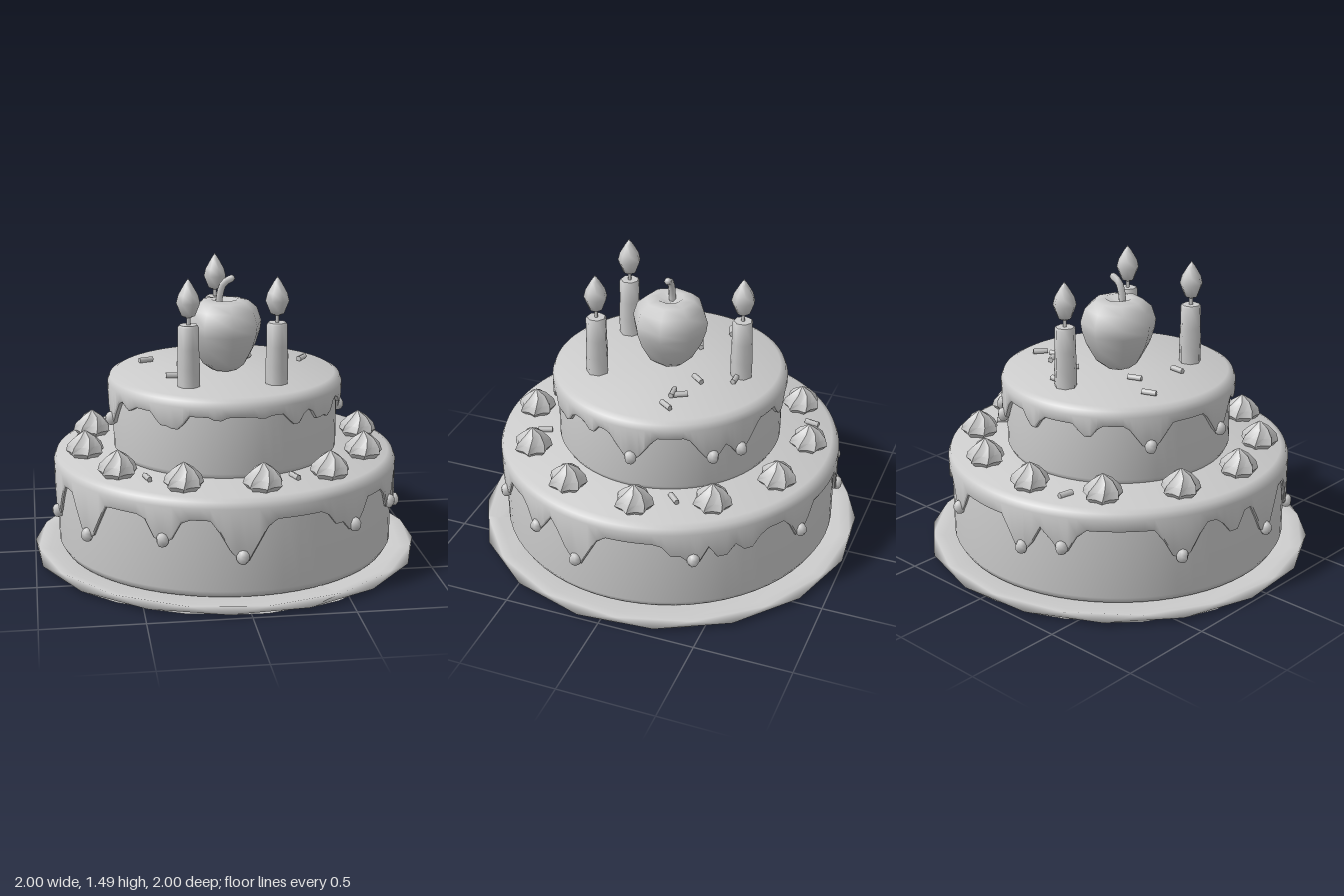
import * as THREE from 'three';
import { toCreasedNormals } from 'three/addons/utils/BufferGeometryUtils.js';

const rad = THREE.MathUtils.degToRad;
const material = new THREE.MeshStandardMaterial({ color: 0xcccccc, side: THREE.DoubleSide });

function mesh(name, geometry, parent, x = 0, y = 0, z = 0) {
  const m = new THREE.Mesh(geometry, material);
  m.name = name;
  m.position.set(x, y, z);
  parent.add(m);
  return m;
}

// Smooth lathe from [radius, height] pairs
function lathe(points, sides, start = 0) {
  return new THREE.LatheGeometry(points.map(p => new THREE.Vector2(...p)), sides, start);
}

// Ring-shaped plate: the rim corners sit half a step away from the inner ones
function plateGeometry() {
  const geo = lathe([
    [0.81, 0.02], [0.9, 0.01], [0.965, 0.01], [1.005, 0.03], [0.985, 0.058],
    [0.93, 0.045], [0.81, 0.045], [0.81, 0.02],
  ], 16, rad(16));
  const pos = geo.attributes.position;
  for (let i = 0; i < pos.count; i++) {
    const r = Math.hypot(pos.getX(i), pos.getZ(i));
    if (r > 0.99) continue;
    const a = Math.atan2(pos.getX(i), pos.getZ(i)) + Math.PI / 16;
    pos.setX(i, Math.sin(a) * r);
    pos.setZ(i, Math.cos(a) * r);
  }
  geo.computeVertexNormals();
  return geo;
}

// Lower edge of the icing at an angle in degrees: the lowest of all drips there
function dripEdge(angle, base, drips, slope) {
  let y = base;
  for (const [a, tip] of drips) {
    const d = Math.abs(((angle - a + 540) % 360) - 180);
    y = Math.min(y, tip + Math.max(0, d - 2) * slope);
  }
  return y;
}

// Icing cap whose lower rim is pulled down into drips
function icing(inner, radius, top, base, drips, slope) {
  const profile = [
    [inner, base], [radius - 0.006, base], [radius, base + 0.012],
    [radius, top - 0.045], [radius - 0.012, top - 0.015], [radius - 0.04, top], [0, top],
  ];
  const geo = lathe(profile, 120);
  const pos = geo.attributes.position;
  for (let i = 0; i < pos.count; i++) {
    const ring = i % profile.length;
    if (ring > 2) continue;
    const angle = Math.floor(i / profile.length) * 3;
    pos.setY(i, dripEdge(angle, base, drips, slope) + (ring === 2 ? 0.012 : 0));
  }
  return toCreasedNormals(geo, 0.7);
}

// Piped cream star: ridged rings that twist and narrow to a point
function dollopGeometry() {
  const rings = [[0.07, 0, 0], [0.1, 0.03, 0.05], [0.09, 0.065, 0.15], [0.052, 0.105, 0.35], [0, 0.138, 0.5]];
  const sides = 14, positions = [], index = [];
  rings.forEach(([r, y, twist]) => {
    for (let i = 0; i < sides; i++) {
      const a = i / sides * Math.PI * 2 + twist;
      const k = i % 2 ? 0.8 : 1;
      positions.push(Math.sin(a) * r * k, y, Math.cos(a) * r * k);
    }
  });
  for (let j = 0; j < rings.length - 1; j++) {
    for (let i = 0; i < sides; i++) {
      const a = j * sides + i, b = j * sides + (i + 1) % sides;
      index.push(a, b, b + sides, a, b + sides, a + sides);
    }
  }
  const geo = new THREE.BufferGeometry();
  geo.setAttribute('position', new THREE.Float32BufferAttribute(positions, 3));
  geo.setIndex(index);
  return toCreasedNormals(geo, 0.75);
}

function addTier(root, name, sponge, iced, drips, slope) {
  const tier = new THREE.Group();
  tier.name = name;
  root.add(tier);
  const { r, bottom, top, hole } = sponge;
  // Hollow sponge with a shelf reaching in under the icing
  mesh('sponge', lathe([
    [r - 0.07, bottom], [r - 0.02, bottom], [r, bottom + 0.035], [r, top - 0.06], [r - 0.03, top - 0.025], [hole, top - 0.02],
  ], 64), tier);
  mesh('icing', icing(r + 0.002, iced.r, top, iced.base, drips, slope), tier);

  // Beads hanging from the drip tips
  const bead = new THREE.SphereGeometry(0.032, 6, 5);
  for (const [a, tip, hasBead] of drips) {
    if (!hasBead) continue;
    const b = mesh('dripBead', bead, tier, Math.sin(rad(a)) * iced.r, tip + 0.02, Math.cos(rad(a)) * iced.r);
    b.scale.y = 1.15;
    b.rotation.y = rad(a);
  }
}

function addCandle(root, x, z) {
  const candle = new THREE.Group();
  candle.name = 'candle';
  candle.position.set(x, 0.95, z);
  root.add(candle);
  const wax = lathe([[0.056, 0], [0.058, 0.1], [0.054, 0.2], [0.053, 0.31], [0.047, 0.32], [0, 0.32]], 7, 0.3);
  mesh('wax', toCreasedNormals(wax, 1), candle);
  mesh('wick', new THREE.CylinderGeometry(0.01, 0.01, 0.06, 5), candle, 0, 0.34, 0);
  const flame = lathe([[0, 0.35], [0.034, 0.365], [0.06, 0.43], [0.05, 0.47], [0.021, 0.52], [0, 0.55]], 7, 0.3);
  mesh('flame', toCreasedNormals(flame, 1.1), candle);
}

export function createModel() {
  const root = new THREE.Group();
  root.name = 'tieredCake';

  mesh('plate', plateGeometry(), root);

  // Drips: [angle, tip height, has a bead]
  addTier(root, 'lowerTier', { r: 0.872, bottom: 0.055, top: 0.555, hole: 0.4 }, { r: 0.889, base: 0.45 }, [
    [-2, 0.25, 1], [38, 0.32, 1], [31, 0.37, 0], [62, 0.33, 1], [79, 0.25, 1], [118, 0.34, 1], [112, 0.38, 0],
    [128, 0.36, 0], [137, 0.37, 0], [158, 0.32, 1], [191, 0.29, 1], [205, 0.33, 1], [243, 0.28, 1], [262, 0.36, 0],
    [279, 0.26, 1], [303, 0.25, 1], [333, 0.32, 1],
  ], 0.028);
  addTier(root, 'upperTier', { r: 0.578, bottom: 0.545, top: 0.96, hole: 0 }, { r: 0.604, base: 0.87 }, [
    [-60, 0.84, 0], [-38, 0.81, 0], [-31, 0.8, 0], [-10, 0.855, 0], [10, 0.86, 0], [28, 0.81, 0], [44, 0.81, 0],
    [51, 0.8, 0], [70, 0.83, 0], [92, 0.73, 1], [131, 0.73, 1], [146, 0.73, 1], [178, 0.8, 0], [208, 0.81, 0],
    [238, 0.74, 1], [280, 0.73, 1],
  ], 0.014);

  // Ring of cream dollops on the lower tier
  const dollop = dollopGeometry();
  for (let i = 0; i < 12; i++) {
    const a = rad(7 + i * 30);
    const d = mesh('creamDollop', dollop, root, Math.sin(a) * 0.735, 0.55, Math.cos(a) * 0.735);
    d.rotation.y = i * 1.7;
  }

  // Fruit with a dimpled top and bent stem
  const fruit = new THREE.Group();
  fruit.name = 'fruit';
  root.add(fruit);
  mesh('flesh', lathe([
    [0, 0.962], [0.07, 0.965], [0.115, 1], [0.165, 1.09], [0.188, 1.16], [0.195, 1.21],
    [0.172, 1.28], [0.125, 1.32], [0.07, 1.33], [0.02, 1.3], [0, 1.3],
  ], 8, 0.1), fruit);
  const stemPath = new THREE.CatmullRomCurve3([[-0.03, 1.29, 0], [-0.025, 1.35, 0], [-0.005, 1.41, 0], [0.035, 1.435, 0]]
    .map(p => new THREE.Vector3(...p)));
  mesh('stem', new THREE.TubeGeometry(stemPath, 6, 0.019, 6), fruit);
  mesh('stemTip', new THREE.SphereGeometry(0.019, 6, 4), fruit, 0.035, 1.435, 0);

  for (const [x, z] of [[-0.22, 0.31], [0.22, 0.31], [0, -0.385]]) addCandle(root, x, z);

  // Sprinkles: [x, z, turn in degrees, height]
  const sprinkle = new THREE.CylinderGeometry(0.015, 0.015, 0.075, 5).rotateZ(Math.PI / 2);
  const sprinkles = [
    [-0.39, -0.2, 20, 0.975], [-0.2, -0.095, 20, 0.975], [0.14, -0.2, 50, 0.975], [0.31, -0.17, -60, 0.975],
    [0.32, -0.135, 5, 0.985], [0.43, -0.14, 55, 0.975], [-0.28, 0.14, -5, 0.975], [0.07, -0.375, 0, 0.975],
    [0.61, -0.25, 45, 0.567], [-0.295, -0.69, 80, 0.567], [-0.45, 0.53, -75, 0.567], [0.265, 0.6, -70, 0.567],
  ];
  for (const [x, z, turn, y] of sprinkles) mesh('sprinkle', sprinkle, root, x, y, z).rotation.y = rad(turn);

  return root;
}
